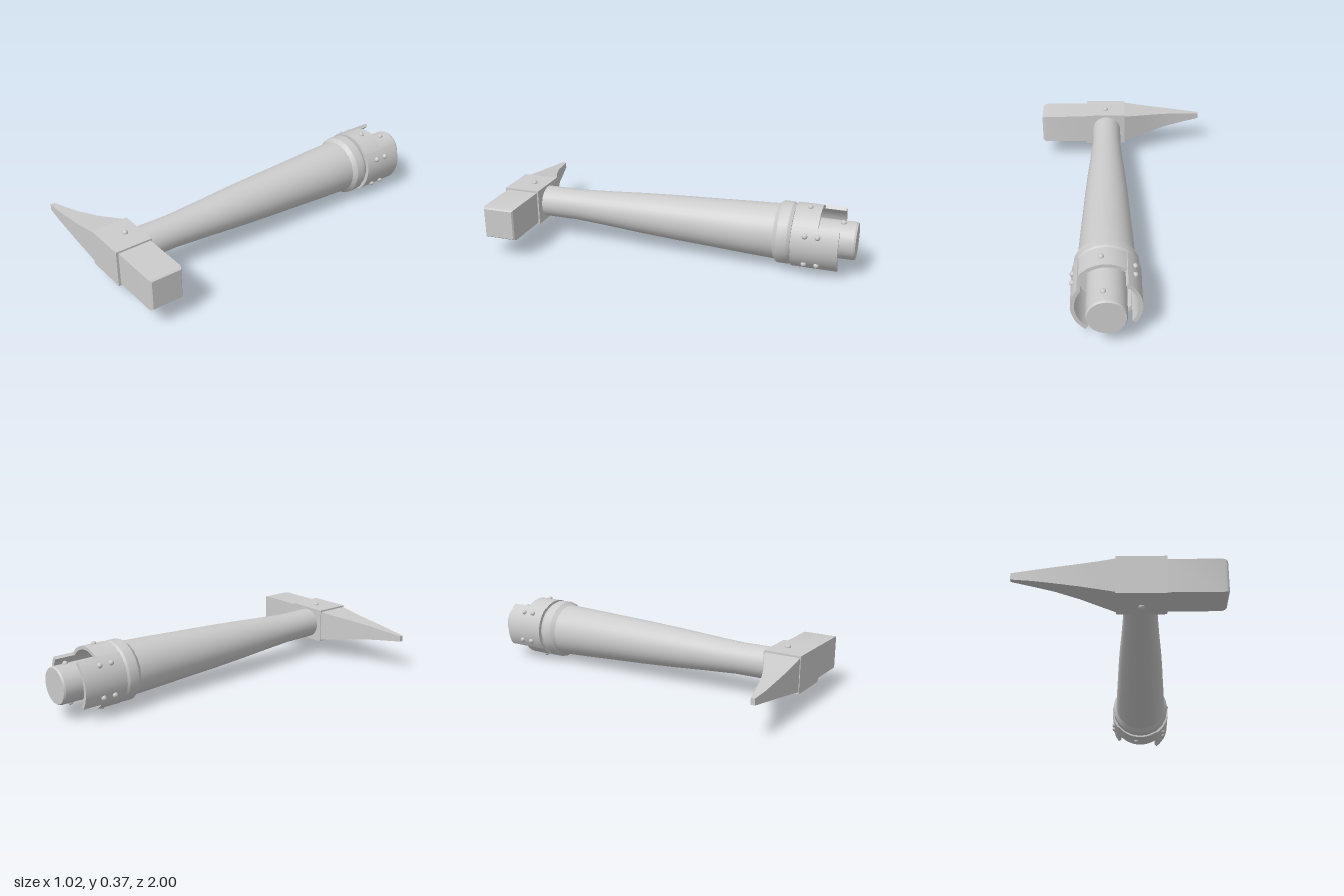
import * as THREE from 'three';
import { toCreasedNormals } from 'three/addons/utils/BufferGeometryUtils.js';

const grey = new THREE.MeshStandardMaterial({ color: 0xcccccc });

function add(parent, name, geometry) {
  const mesh = new THREE.Mesh(geometry, grey);
  mesh.name = name;
  parent.add(mesh);
  return mesh;
}

// Turned part along z; profile points are [radius, z], from front to back
function turned(profile, sides) {
  const g = new THREE.LatheGeometry(profile.map(([r, z]) => new THREE.Vector2(r, -z)), sides);
  return toCreasedNormals(g.rotateX(-Math.PI / 2), 0.4);
}

// Rectangular cross-sections [x, y0, y1, z0, z1], in order of rising x
function loft(sections) {
  const pos = [], index = [];
  for (const [x, y0, y1, z0, z1] of sections) {
    pos.push(x, y0, z0, x, y1, z0, x, y1, z1, x, y0, z1);
  }
  for (let i = 0; i < sections.length - 1; i++) {
    for (let k = 0; k < 4; k++) {
      const a = i * 4 + k, b = i * 4 + (k + 1) % 4;
      index.push(a, b, b + 4, a, b + 4, a + 4);
    }
  }
  const e = pos.length / 3 - 4;
  index.push(0, 2, 1, 0, 3, 2, e, e + 1, e + 2, e, e + 2, e + 3);
  const g = new THREE.BufferGeometry();
  g.setAttribute('position', new THREE.Float32BufferAttribute(pos, 3));
  g.setIndex(index);
  return toCreasedNormals(g, 0.3);
}

// Curved plate spanning 90 degrees around the z axis
function plate(mid, outer, inner, zBack, zFront) {
  const a0 = mid - Math.PI / 4, a1 = mid + Math.PI / 4;
  const shape = new THREE.Shape();
  shape.absarc(0, 0, outer, a0, a1, false);
  shape.absarc(0, 0, inner, a1, a0, true);
  const g = new THREE.ExtrudeGeometry(shape, { depth: zFront - zBack, bevelEnabled: false, curveSegments: 6 });
  return toCreasedNormals(g.translate(0, 0, zBack), 0.5);
}

const rivetGeometry = new THREE.SphereGeometry(0.015, 12, 8);

function rivet(parent, angle, radius, z) {
  add(parent, 'rivet', rivetGeometry)
    .position.set(radius * Math.cos(angle), radius * Math.sin(angle), z);
}

export function createModel() {
  const model = new THREE.Group();
  model.name = 'hammer';

  // Head: socket block, square poll and tapering pick
  const head = new THREE.Group();
  head.name = 'head';
  model.add(head);
  add(head, 'socketBlock', loft([[-0.02, 0.107, 0.307, 0.795, 1], [0.225, 0.107, 0.307, 0.795, 1]]));
  add(head, 'poll', loft([
    [0.22, 0.117, 0.297, 0.803, 0.987],
    [0.485, 0.117, 0.297, 0.803, 0.987],
    [0.502, 0.121, 0.293, 0.807, 0.983],
    [0.51, 0.127, 0.287, 0.814, 0.976],
  ]));
  add(head, 'pick', loft([
    [-0.51, 0.19, 0.224, 0.97, 0.992],
    [-0.41, 0.178, 0.236, 0.945, 0.998],
    [-0.31, 0.164, 0.25, 0.922, 0.999],
    [-0.19, 0.146, 0.267, 0.878, 0.999],
    [-0.1, 0.131, 0.282, 0.835, 0.997],
    [-0.015, 0.116, 0.298, 0.797, 0.996],
  ]));
  for (const y of [0.105, 0.309]) {
    add(head, 'headRivet', rivetGeometry).position.set(0.102, y, 0.875);
  }

  // Handle assembly on a slightly tilted axis
  const handle = new THREE.Group();
  handle.name = 'handle';
  handle.position.set(0.097, 0.199, 0);
  handle.rotation.x = -0.009;
  model.add(handle);
  add(handle, 'shaft', turned([
    [0, 0.82], [0.088, 0.82], [0.088, 0.6], [0.1, 0.4], [0.114, 0.2],
    [0.125, 0], [0.134, -0.2], [0.144, -0.4], [0.152, -0.6],
  ], 32));
  add(handle, 'collar', turned([
    [0, -0.57], [0.15, -0.57], [0.17, -0.595], [0.17, -0.65], [0.16, -0.668], [0, -0.668],
  ], 20));
  add(handle, 'buttCore', turned([
    [0.102, -0.66], [0.102, -0.99], [0.097, -1], [0, -1],
  ], 32));

  // Cage at the butt: long side plates, short top and bottom plates
  const turn = -0.148;
  for (const side of [0, Math.PI]) {
    const mid = turn + side;
    add(handle, 'longPlate', plate(mid, 0.177, 0.157, -0.92, -0.672));
    add(handle, 'shortPlate', plate(mid + Math.PI / 2, 0.171, 0.152, -0.808, -0.672));
    for (const offset of [-0.5, 0.5]) {
      for (const z of [-0.745, -0.812]) rivet(handle, mid + offset, 0.178, z);
    }
    rivet(handle, mid + Math.PI / 2, 0.171, -0.745);
    rivet(handle, mid + Math.PI / 2, 0.102, -0.923);
  }
  return model;
}
